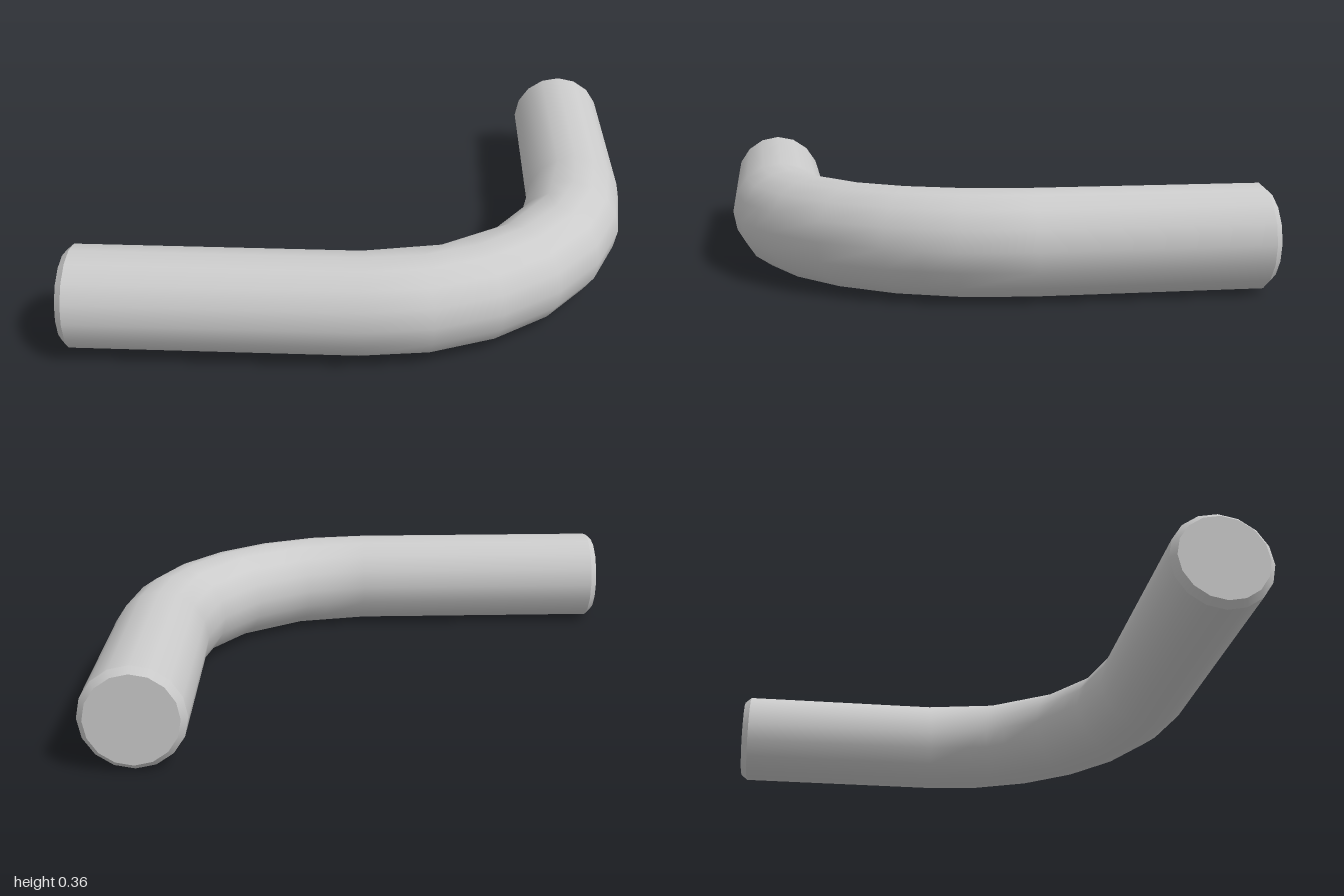
import * as THREE from 'three';

const SIDES = 16;
const TUBE = 0.182;            // bar radius
const BEND = 0.798;            // bend radius along the centreline
const CX = 0.02, CZ = -0.08;   // centre of the bend
const BEVEL = 0.025;

// Facets the bend: scales a radius so points lie on chords of the given step
function chord(t, step) {
  return Math.cos(step / 2) / Math.cos((t % step) - step / 2);
}

// One smooth-shaded skin: straight leg, quarter bend, straight leg
function barGeometry() {
  const deg = Math.PI / 180;
  const stations = [{ t: 0, dx: 0, dz: -0.9 + BEVEL - CZ }];
  for (const d of [0, 15, 22.5, 30, 45, 60, 67.5, 75, 90]) {
    stations.push({ t: d * deg, dx: 0, dz: 0 });
  }
  stations.push({ t: Math.PI / 2, dx: -1 + BEVEL - CX, dz: 0 });

  const pos = [], nor = [], idx = [];
  for (const { t, dx, dz } of stations) {
    for (let j = 0; j <= SIDES; j++) {
      const a = (j / SIDES) * Math.PI * 2;
      const c = Math.cos(a), s = Math.sin(a);
      // the inside of the bend has coarser facets than the outside
      const step = (c < -0.3 ? 22.5 : 15) * deg;
      const rad = (BEND + TUBE * c) * chord(t, step);
      pos.push(CX + dx + rad * Math.cos(t), TUBE + TUBE * s, CZ + dz + rad * Math.sin(t));
      nor.push(c * Math.cos(t), s, c * Math.sin(t));
    }
  }
  const row = SIDES + 1;
  for (let i = 0; i < stations.length - 1; i++) {
    for (let j = 0; j < SIDES; j++) {
      const p = i * row + j;
      idx.push(p, p + 1, p + row, p + 1, p + row + 1, p + row);
    }
  }
  const g = new THREE.BufferGeometry();
  g.setAttribute('position', new THREE.Float32BufferAttribute(pos, 3));
  g.setAttribute('normal', new THREE.Float32BufferAttribute(nor, 3));
  g.setIndex(idx);
  return g;
}

// Bevelled end with a flat face, pointing along +y
function barEnd(name, material) {
  const end = new THREE.Group();
  end.name = name;
  const bevel = new THREE.Mesh(
    new THREE.CylinderGeometry(TUBE - 0.022, TUBE, BEVEL, SIDES, 1, true), material);
  bevel.name = 'bevel';
  const face = new THREE.Mesh(new THREE.CircleGeometry(TUBE - 0.022, SIDES), material);
  face.name = 'endFace';
  face.rotation.x = -Math.PI / 2;
  face.position.y = BEVEL / 2;
  end.add(bevel, face);
  return end;
}

export function createModel() {
  const model = new THREE.Group();
  model.name = 'bentBar';
  const material = new THREE.MeshStandardMaterial({ color: 0xcccccc });

  const bar = new THREE.Mesh(barGeometry(), material);
  bar.name = 'bar';

  // end facing the back
  const backEnd = barEnd('backEnd', material);
  backEnd.rotation.x = -Math.PI / 2;
  backEnd.position.set(CX + BEND, TUBE, -0.9 + BEVEL / 2);

  // end facing the right
  const rightEnd = barEnd('rightEnd', material);
  rightEnd.rotation.z = Math.PI / 2;
  rightEnd.position.set(-1 + BEVEL / 2, TUBE, CZ + BEND);

  model.add(bar, backEnd, rightEnd);
  return model;
}
